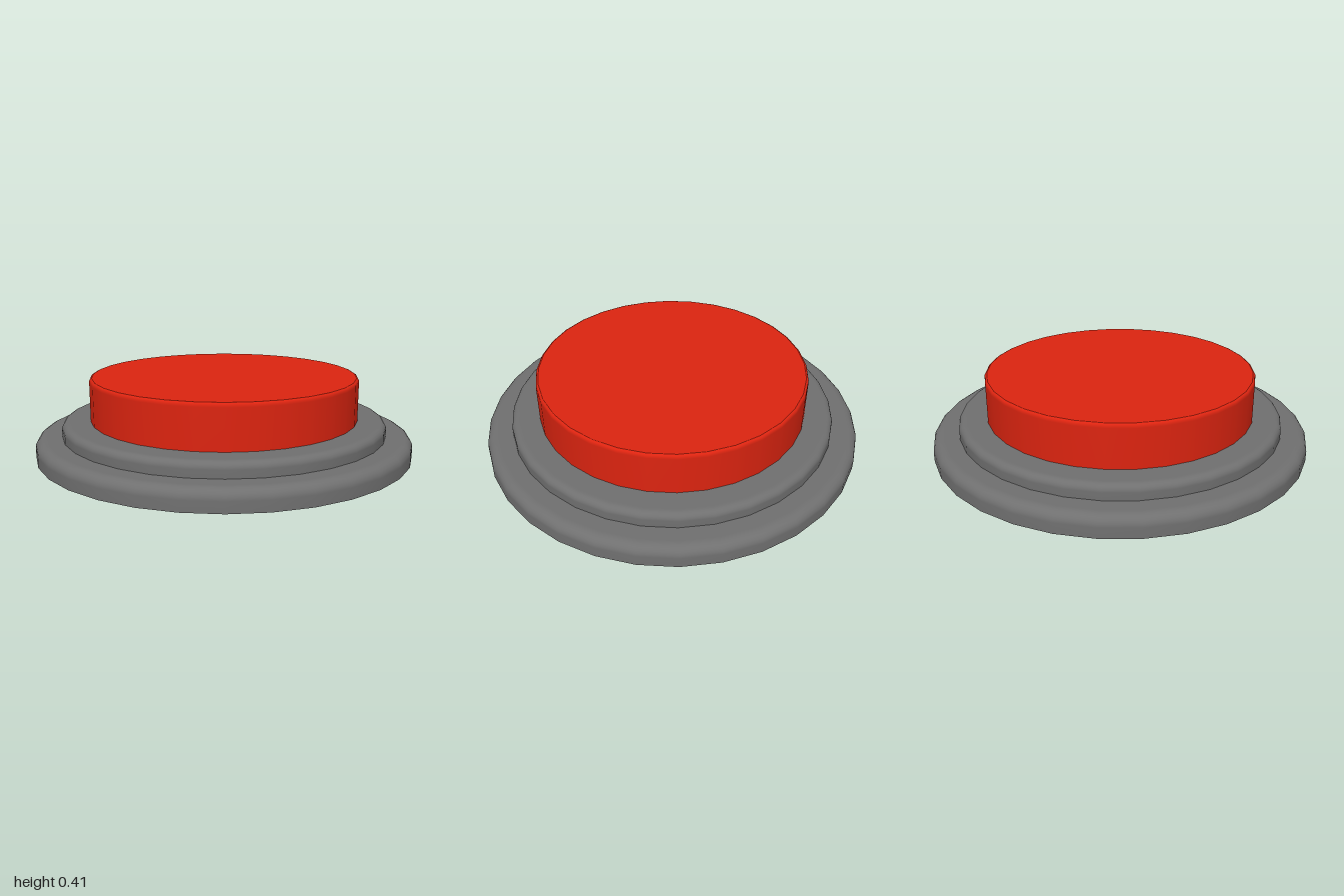
import * as THREE from 'three';

const SEGMENTS = 32;

// Wall from y0 up to a rounded shoulder, then flat inwards to rInner
function steppedProfile(rOuter, rInner, y0, y1, fillet) {
  const points = [new THREE.Vector2(rOuter, y0)];
  const steps = 5;
  for (let i = 0; i <= steps; i++) {
    const a = (i / steps) * Math.PI / 2;
    points.push(new THREE.Vector2(
      rOuter - fillet + Math.cos(a) * fillet,
      y1 - fillet + Math.sin(a) * fillet
    ));
  }
  points.push(new THREE.Vector2(rOuter - fillet - 0.01, y1));
  points.push(new THREE.Vector2(rInner, y1));
  return points;
}

export function createModel() {
  const group = new THREE.Group();
  const grey = new THREE.MeshStandardMaterial({ color: 0x707070, side: THREE.DoubleSide });
  grey.name = 'housingGrey';
  const red = new THREE.MeshStandardMaterial({ color: 0xdd2410, side: THREE.DoubleSide });
  red.name = 'buttonRed';

  function addLathe(name, points, material) {
    const mesh = new THREE.Mesh(new THREE.LatheGeometry(points, SEGMENTS), material);
    mesh.name = name;
    group.add(mesh);
  }

  // Hollow housing: two rounded steps, open underneath
  addLathe('baseRing', steppedProfile(1, 0.862, 0, 0.105, 0.05), grey);
  addLathe('upperRing', steppedProfile(0.862, 0.71, 0.105, 0.18, 0.035), grey);

  // Inner sleeve, running from the top of the housing to the ground
  addLathe('innerSleeve', [new THREE.Vector2(0.71, 0), new THREE.Vector2(0.71, 0.18)], grey);

  // Hollow push button: wall with a slim bevel, closed by a flat top
  addLathe('buttonWall', [
    new THREE.Vector2(0.713, 0.18),
    new THREE.Vector2(0.713, 0.385),
    new THREE.Vector2(0.712, 0.395),
    new THREE.Vector2(0.708, 0.402),
    new THREE.Vector2(0.7, 0.406),
  ], red);
  addLathe('buttonTop', [new THREE.Vector2(0.7, 0.406), new THREE.Vector2(0, 0.406)], red);

  return group;
}
